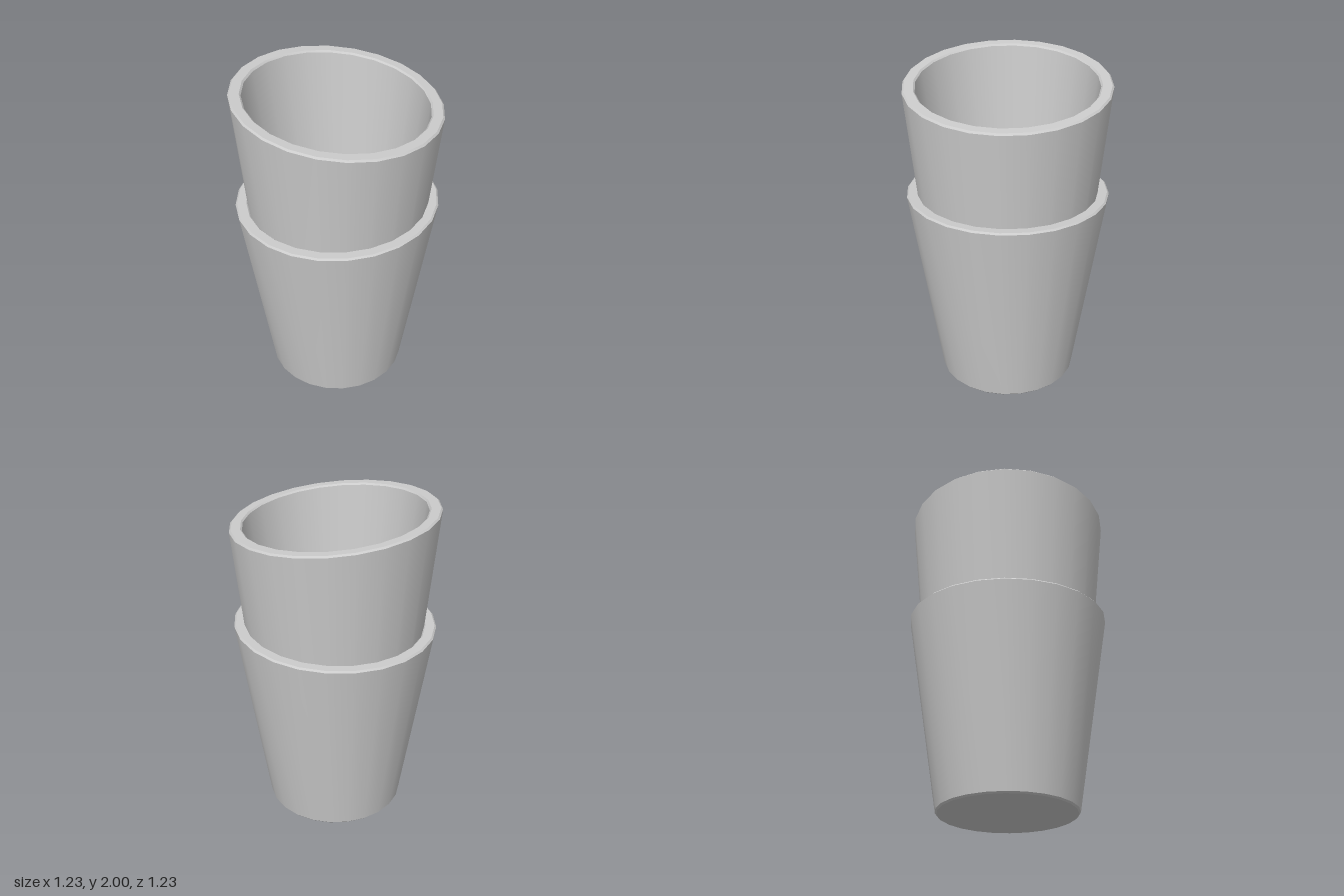
import * as THREE from 'three';
import { toCreasedNormals } from 'three/addons/utils/BufferGeometryUtils.js';

const SEGMENTS = 24;
const BEVEL = 0.01;

// Tapered, thick-walled cup with softened edges; the rim plane slopes along x.
function makeCup(name, height, floor, rimSlope, material) {
  const outerBase = 0.426, outerRim = 0.617, innerBase = 0.347, innerRim = 0.542;
  const profile = [
    [0, 0],
    [outerBase - BEVEL, 0],
    [outerBase, BEVEL],
    [outerRim, height - BEVEL],
    [outerRim - BEVEL, height],
    [innerRim + BEVEL, height],
    [innerRim, height - BEVEL],
    [innerBase, floor + BEVEL],
    [innerBase - BEVEL, floor],
    [0, floor],
  ].map(([r, y]) => new THREE.Vector2(r, y));

  const geometry = new THREE.LatheGeometry(profile, SEGMENTS);

  // Tilt only the rim rings, keeping the base level
  const pos = geometry.attributes.position;
  for (let i = 0; i < pos.count; i++) {
    if (pos.getY(i) > height / 2) pos.setY(i, pos.getY(i) + rimSlope * pos.getX(i));
  }

  const mesh = new THREE.Mesh(toCreasedNormals(geometry, 0.6), material);
  mesh.name = name;
  return mesh;
}

export function createModel() {
  const group = new THREE.Group();
  group.name = 'stackedCups';
  const material = new THREE.MeshStandardMaterial({ color: 0xcccccc });

  // Short outer cup, with the tall cup nested inside it
  group.add(makeCup('outerCup', 1.253, 0.06, 0.03, material));
  group.add(makeCup('innerCup', 1.936, 0.08, -0.105, material));
  // Lift the nested base slightly so the two undersides do not coincide
  const inner = group.getObjectByName('innerCup');
  inner.scale.y = 0.998;
  inner.position.y = 0.004;
  return group;
}
